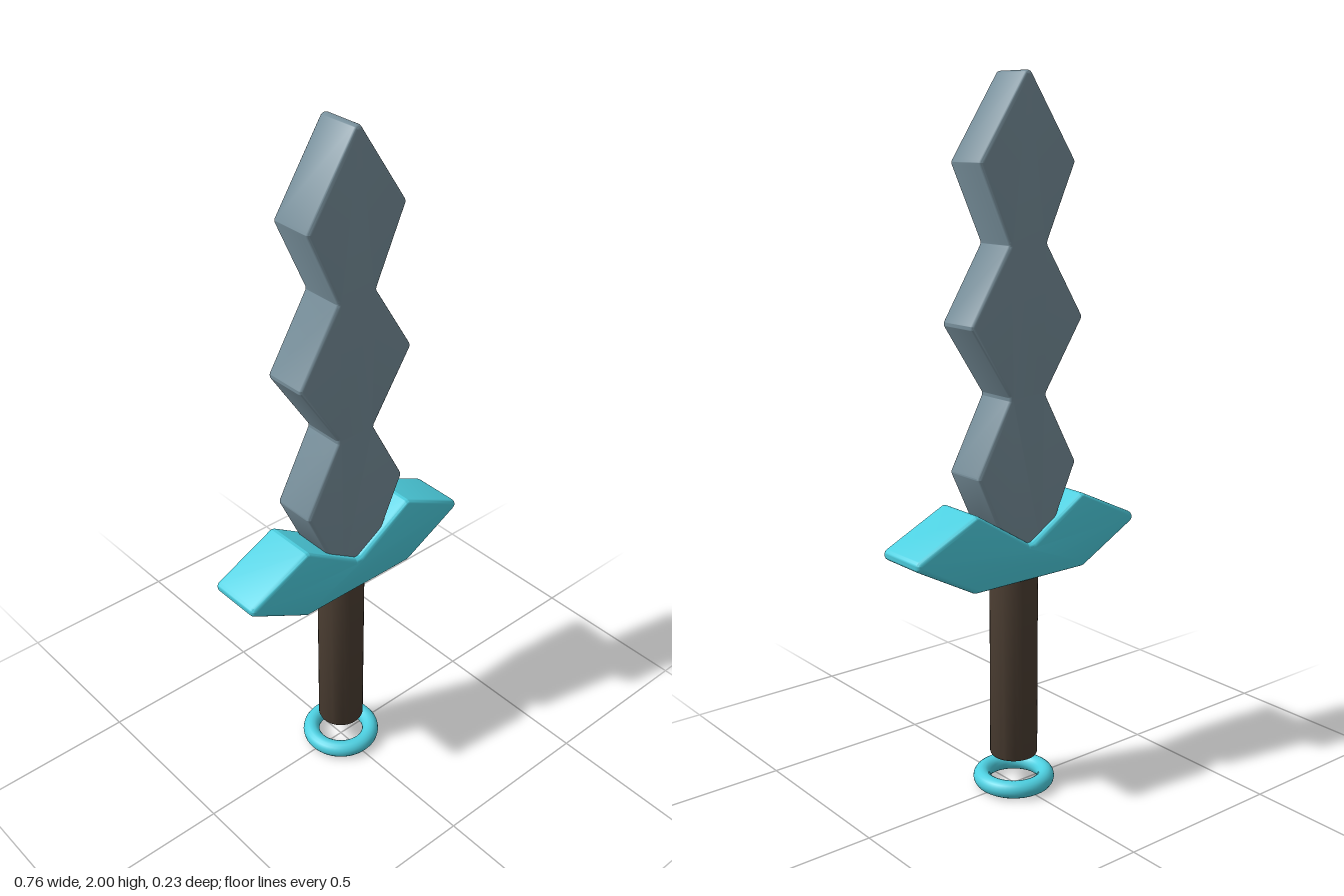
import * as THREE from 'three';
import { toCreasedNormals } from 'three/addons/utils/BufferGeometryUtils.js';

const CYAN = 0x4dd0e1, STEEL = 0x78909c, WOOD = 0x4e4034;

function addPart(group, name, geometry, color) {
  const mesh = new THREE.Mesh(geometry, new THREE.MeshStandardMaterial({ color }));
  mesh.name = name;
  group.add(mesh);
  return mesh;
}

// Mirror a right-hand outline (bottom to top) across x = 0
function mirrored(half) {
  const left = half.filter(([x]) => x > 0).map(([x, y]) => [-x, y]).reverse();
  return [...half, ...left].map(([x, y]) => new THREE.Vector2(x, y));
}

// Closed shape with every corner filleted to radius r
function filletedShape(points, r) {
  const shape = new THREE.Shape();
  const n = points.length;
  points.forEach((p, i) => {
    const u = points[(i + n - 1) % n].clone().sub(p).normalize();
    const v = points[(i + 1) % n].clone().sub(p).normalize();
    const half = Math.acos(u.dot(v)) / 2;
    const c = u.clone().add(v).normalize().multiplyScalar(r / Math.sin(half)).add(p);
    const t = r / Math.tan(half);
    const a = u.clone().multiplyScalar(t).add(p);
    const b = v.clone().multiplyScalar(t).add(p);
    if (i === 0) shape.moveTo(a.x, a.y);
    shape.absarc(c.x, c.y, r, a.sub(c).angle(), b.sub(c).angle(), u.cross(v) > 0);
  });
  shape.closePath();
  return shape;
}

// Flat slab with softly rounded edges, centred on z = 0
function slab(half, depth, bevel) {
  const geometry = new THREE.ExtrudeGeometry(filletedShape(mirrored(half), bevel + 0.003), {
    depth: depth - 2 * bevel, curveSegments: 6,
    bevelEnabled: true, bevelThickness: bevel, bevelSize: bevel,
    bevelOffset: -bevel, bevelSegments: 4,
  });
  geometry.translate(0, 0, -depth / 2 + bevel);
  return toCreasedNormals(geometry, 0.7);
}

export function createModel() {
  const model = new THREE.Group();
  model.name = 'sword';

  // Blade of three stacked diamonds, its root sunk in the guard
  addPart(model, 'blade', slab([
    [0.055, 0.7], [0.172, 0.952], [0.062, 1.155], [0.193, 1.355],
    [0.065, 1.56], [0.162, 1.77], [0, 2.011],
  ], 0.13, 0.012), STEEL);

  // Swept cross guard with a V notch on top
  addPart(model, 'guard', slab([
    [0.192, 0.644], [0.403, 0.757], [0.185, 0.861], [0, 0.745],
  ], 0.164, 0.014), CYAN);

  // Round grip with softened ends
  const r = 0.068, e = 0.007;
  const profile = [
    [0, 0.1], [r - e, 0.1], [r - e * 0.3, 0.1 + e * 0.3], [r, 0.1 + e], [r, 0.7], [0, 0.7],
  ].map(([x, y]) => new THREE.Vector2(x, y));
  addPart(model, 'grip', toCreasedNormals(new THREE.LatheGeometry(profile, 40), 0.8), WOOD);

  // Loose pommel ring below the grip
  const ring = addPart(model, 'pommelRing', new THREE.TorusGeometry(0.092, 0.025, 16, 56), CYAN);
  ring.rotation.x = Math.PI / 2;
  ring.position.y = 0.028;

  return model;
}
